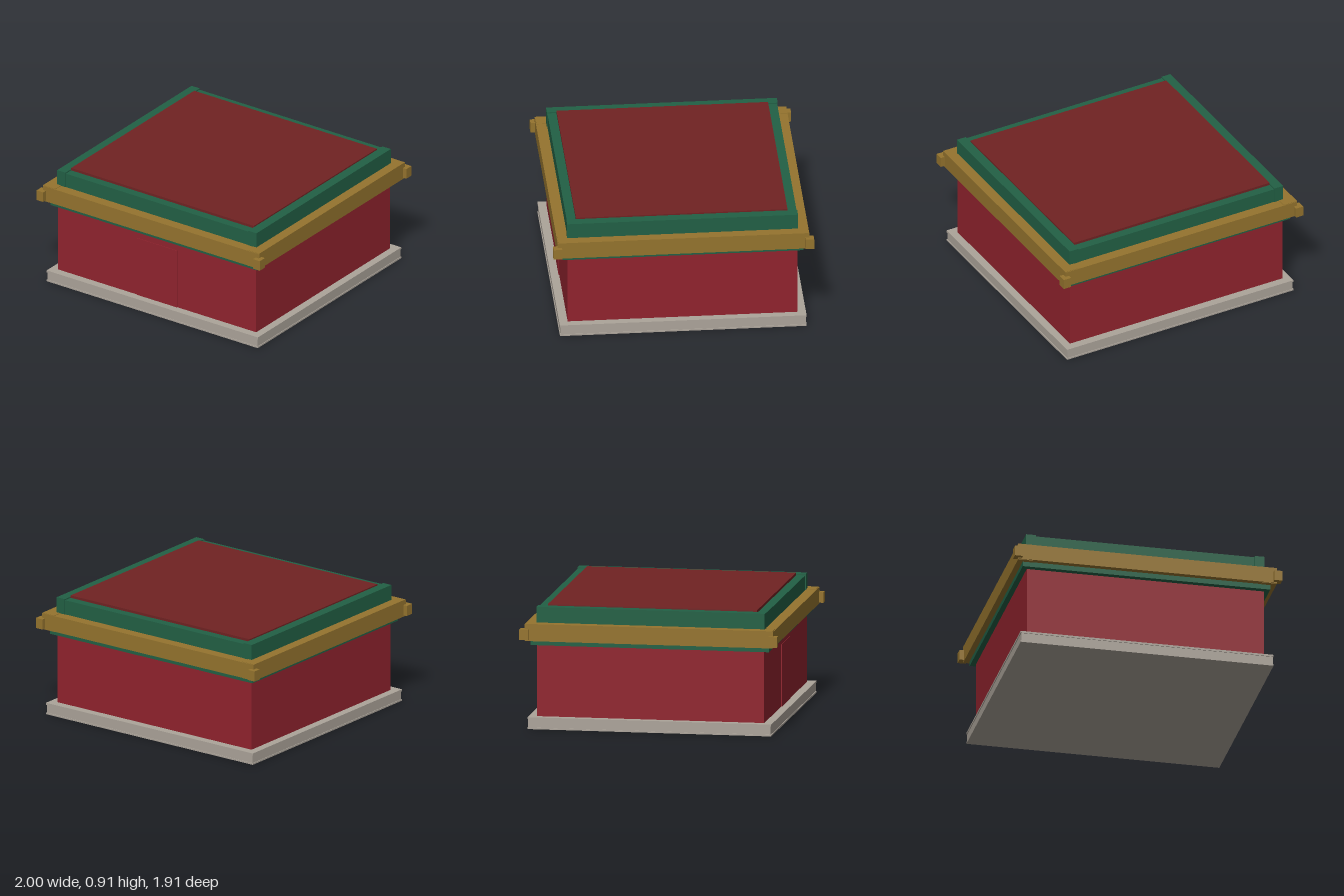
import * as THREE from 'three';

const material = (name, color) => {
  const m = new THREE.MeshStandardMaterial({ color });
  m.name = name;
  return m;
};

export function createModel() {
  const group = new THREE.Group();
  group.name = 'pavilionStorey';
  const stone = material('stone', 0xaca49a);
  const redWall = material('redWall', 0x91232e);
  const darkRed = material('darkRedRoof', 0x702323);
  const green = material('greenTimber', 0x226045);
  const gold = material('goldTimber', 0x95742e);

  // Box given by half width, half depth, and bottom and top heights
  const block = (name, mat, hx, hz, y0, y1, x = 0, z = 0) => {
    const mesh = new THREE.Mesh(new THREE.BoxGeometry(hx * 2, y1 - y0, hz * 2), mat);
    mesh.name = name;
    mesh.position.set(x, (y0 + y1) / 2, z);
    group.add(mesh);
  };

  // Stone plinth with a fine lip at the top and bottom
  block('plinthBottomLip', stone, 0.946, 0.904, 0, 0.012);
  block('plinthCore', stone, 0.941, 0.899, 0.012, 0.073);
  block('plinthTopLip', stone, 0.946, 0.904, 0.073, 0.088);

  // Walls and the shallow door panel on the front
  block('walls', redWall, 0.887, 0.842, 0.088, 0.62);
  block('doorPanel', redWall, 0.18, 0.0025, 0.088, 0.55, 0, 0.8445);

  // Lower green tie beam
  block('lowerBeam', green, 0.926, 0.884, 0.62, 0.658);

  for (const s of [-1, 1]) {
    // Gold eave beams
    block('goldLongBeam', gold, 0.967, 0.055, 0.66, 0.78, 0, s * 0.867);
    block('goldSideBeam', gold, 0.055, 0.917, 0.656, 0.783, s * 0.913, 0);
    // Green parapet, its side beams a little taller
    block('parapetLongBeam', green, 0.885, 0.034, 0.658, 0.889, 0, s * 0.808);
    block('parapetSideBeam', green, 0.037, 0.846, 0.658, 0.898, s * 0.855, 0);
    // Gold beam ends at the corners
    for (const t of [-1, 1]) {
      block('beamEnd', gold, 0.03, 0.032, 0.668, 0.746, s * 0.97, t * 0.923);
    }
  }

  // Flat roof
  block('roofSlab', darkRed, 0.818, 0.775, 0.658, 0.908);
  return group;
}
